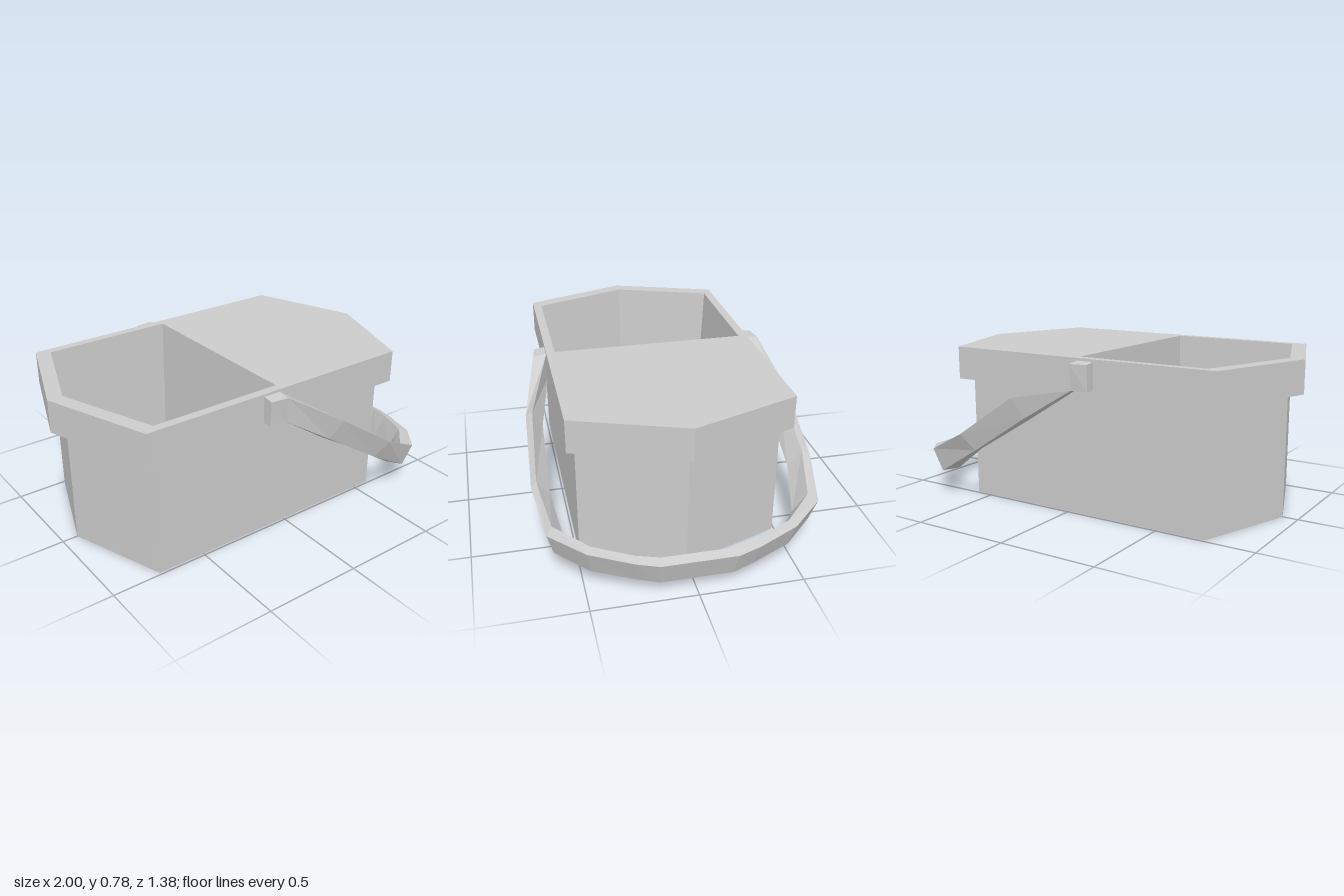
import * as THREE from 'three';

const material = new THREE.MeshStandardMaterial({ color: 0xcccccc, flatShading: true });

// Skins a list of equal-length rings; optionally caps either end.
function loft(rings, { capStart = false, capEnd = false } = {}) {
  const pos = [];
  const tri = (a, b, c) => pos.push(...a, ...b, ...c);
  const n = rings[0].length;
  for (let r = 0; r < rings.length - 1; r++) {
    for (let i = 0; i < n; i++) {
      const j = (i + 1) % n;
      const [a, b, c, d] = [rings[r][i], rings[r][j], rings[r + 1][j], rings[r + 1][i]];
      tri(a, b, c);
      tri(a, c, d);
    }
  }
  const last = rings[rings.length - 1];
  for (let i = 1; i < n - 1; i++) {
    if (capStart) tri(rings[0][0], rings[0][i + 1], rings[0][i]);
    if (capEnd) tri(last[0], last[i], last[i + 1]);
  }
  const geometry = new THREE.BufferGeometry();
  geometry.setAttribute('position', new THREE.Float32BufferAttribute(pos, 3));
  geometry.computeVertexNormals();
  return geometry;
}

// Outlines in plan, as [x, z], running counter-clockwise seen from above
const hexagon = (x0, x1, x2, x3, z) => [[x0, 0], [x1, z], [x2, z], [x3, 0], [x2, -z], [x1, -z]];
const opening = (x0, x1, x2, z) => [[x0, 0], [x1, z], [x2, z], [x2, -z], [x1, -z]];
const atHeight = (outline, y) => outline.map(([x, z]) => [x, y, z]);

export function createModel() {
  const group = new THREE.Group();
  const add = (name, geometry) => {
    const mesh = new THREE.Mesh(geometry, material);
    mesh.name = name;
    group.add(mesh);
  };

  const TOP = 0.777, LEDGE = 0.612;
  const bodyOutline = hexagon(-0.922, -0.747, 0.593, 0.77, 0.488);
  const rimOutline = hexagon(-1, -0.808, 0.655, 0.848, 0.532);
  const mouth = opening(-0.925, -0.747, -0.077, 0.488);
  const floor = opening(-0.885, -0.72, -0.11, 0.447);

  // Basket body with closed underside
  add('body', loft([atHeight(bodyOutline, 0), atHeight(bodyOutline, LEDGE)], { capStart: true }));

  // Overhanging rim: ledge underneath, then the outer band
  add('rim', loft([atHeight(bodyOutline, LEDGE), atHeight(rimOutline, LEDGE), atHeight(rimOutline, TOP)]));

  // Flat top: closed lid on one half, open mouth on the other
  const toShape = (outline, Type) => new Type(outline.map(([x, z]) => new THREE.Vector2(x, -z)));
  const topShape = toShape(rimOutline, THREE.Shape);
  topShape.holes.push(toShape(mouth, THREE.Path));
  add('lidAndRimTop', new THREE.ShapeGeometry(topShape).rotateX(-Math.PI / 2).translate(0, TOP, 0));

  // Tapered inside of the open half, with its floor
  add('cavity', loft([atHeight(mouth, TOP), atHeight(floor, 0.04)], { capEnd: true }));

  // Swung-down handle: sections of top outer, bottom outer, bottom inner, top inner corners
  const half = [
    [[-0.18, 0.757, 0.585], [-0.18, 0.63, 0.58], [-0.18, 0.63, 0.53], [-0.18, 0.765, 0.53]],
    [[-0.09, 0.757, 0.597], [-0.09, 0.63, 0.585], [-0.09, 0.63, 0.53], [-0.09, 0.765, 0.53]],
    [[0.2, 0.58, 0.672], [0.15, 0.48, 0.632], [0.13, 0.48, 0.588], [0.17, 0.575, 0.638]],
    [[0.52, 0.365, 0.69], [0.46, 0.28, 0.648], [0.46, 0.28, 0.6], [0.48, 0.37, 0.662]],
    [[0.75, 0.25, 0.65], [0.72, 0.13, 0.62], [0.66, 0.14, 0.56], [0.69, 0.255, 0.62]],
    [[0.89, 0.225, 0.49], [0.85, 0.1, 0.47], [0.81, 0.115, 0.43], [0.85, 0.235, 0.465]],
    [[0.97, 0.2, 0.29], [0.93, 0.08, 0.27], [0.89, 0.095, 0.255], [0.93, 0.215, 0.28]],
    [[1, 0.19, 0.18], [0.96, 0.07, 0.17], [0.92, 0.085, 0.16], [0.96, 0.21, 0.17]],
  ];
  const mirrored = half.map((ring) => ring.map(([x, y, z]) => [x, y, -z])).reverse();
  add('handle', loft([...half, ...mirrored], { capStart: true, capEnd: true }));

  return group;
}
